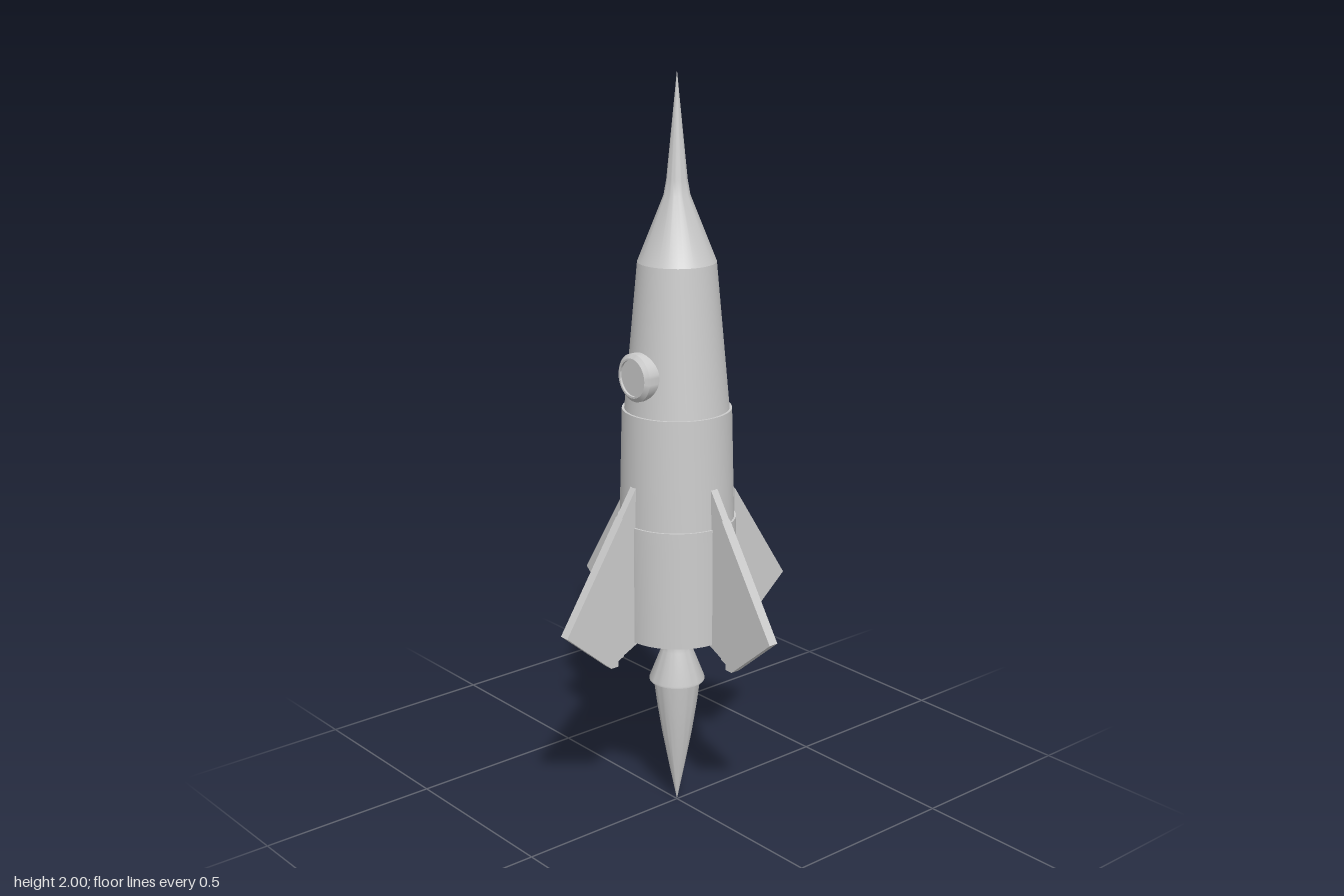
import * as THREE from 'three';
import { toCreasedNormals } from 'three/addons/utils/BufferGeometryUtils.js';

const grey = new THREE.MeshStandardMaterial({ color: 0xcccccc });
grey.name = 'hull grey';

// Surface of revolution; points are [radius, height] from bottom to top
function turned(name, points, crease = 0.45) {
  const profile = points.map(([r, y]) => new THREE.Vector2(r, y));
  const mesh = new THREE.Mesh(toCreasedNormals(new THREE.LatheGeometry(profile, 48), crease), grey);
  mesh.name = name;
  return mesh;
}

// Flat plate in the xy plane, centred on z = 0
function plate(name, points, thickness) {
  const shape = new THREE.Shape(points.map(([x, y]) => new THREE.Vector2(x, y)));
  const geometry = new THREE.ExtrudeGeometry(shape, { depth: thickness, bevelEnabled: false });
  geometry.translate(0, 0, -thickness / 2);
  const mesh = new THREE.Mesh(geometry, grey);
  mesh.name = name;
  return mesh;
}

export function createModel() {
  const model = new THREE.Group();
  model.name = 'rocket';

  // Hull sections, each stepping slightly over the one above
  model.add(turned('lowerHull', [[0, 0.517], [0.157, 0.517], [0.157, 0.8], [0.157, 0.838], [0.148, 0.838]]));
  model.add(turned('middleHull', [[0.152, 0.83], [0.144, 1.135], [0.135, 1.135]]));
  model.add(turned('upperHull', [[0.138, 1.13], [0.102, 1.52]]));

  // Nose cone drawn out to a needle
  model.add(turned('noseCone', [[0.102, 1.52], [0.034, 1.69], [0.027, 1.73], [0, 2]]));

  // Engine bell and exhaust flame
  model.add(turned('engineNozzle', [
    [0, 0.367], [0.075, 0.367], [0.075, 0.372], [0.043, 0.455], [0.04, 0.48], [0.044, 0.52],
  ]));
  model.add(turned('exhaustFlame', [
    [0, 0], [0.022, 0.11], [0.041, 0.21], [0.055, 0.3], [0.064, 0.37],
  ]));

  // Porthole with a chamfered rim and sunken pane
  const porthole = turned('porthole', [
    [0, 0.146], [0.047, 0.146], [0.047, 0.152], [0.052, 0.152], [0.063, 0.143], [0.063, 0.11],
  ].reverse());
  porthole.rotation.x = Math.PI / 2;
  porthole.position.y = 1.237;
  model.add(porthole);

  // Four fins: a thinner root and a thicker swept blade with a foot
  for (let i = 0; i < 4; i++) {
    const fin = new THREE.Group();
    fin.name = 'fin' + (i + 1);
    fin.add(plate('finRoot', [[0.13, 0.52], [0.2, 0.487], [0.2, 0.865], [0.145, 0.95], [0.13, 0.95]], 0.022));
    fin.add(plate('finBlade', [
      [0.195, 0.489], [0.213, 0.481], [0.213, 0.465], [0.237, 0.465], [0.38, 0.587], [0.195, 0.873],
    ], 0.027));
    fin.rotation.y = i * Math.PI / 2;
    model.add(fin);
  }
  return model;
}
